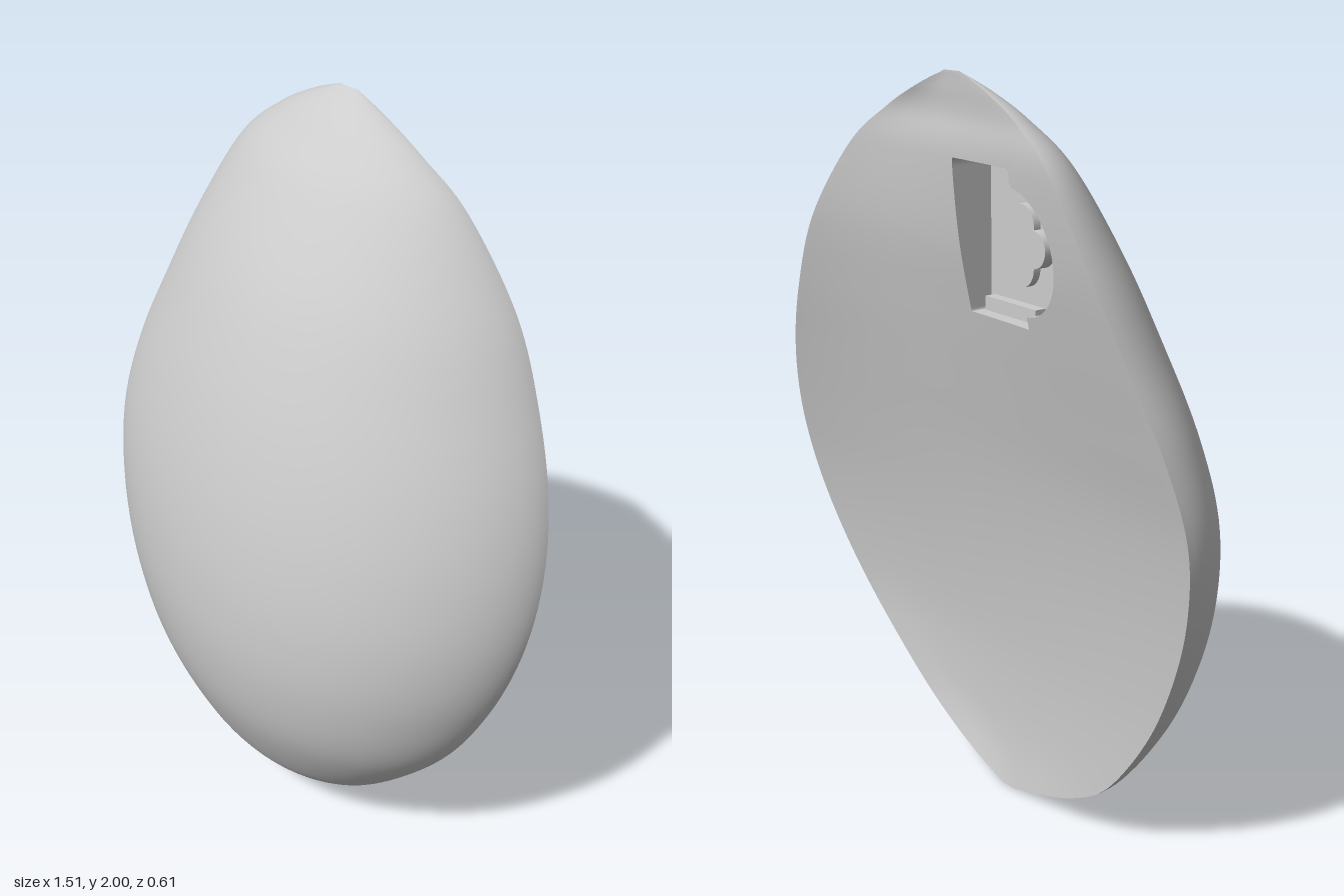
import * as THREE from 'three';

// Rows from bottom to top: y, left-hand x, right-hand x, front z, left-hand rim z, right-hand rim z
const ROWS = [
  [0, -0.03, 0.02, -0.045, -0.045, -0.048],
  [0.04, -0.15, 0.14, 0.022, -0.045, -0.05],
  [0.1, -0.295, 0.275, 0.093, -0.045, -0.053],
  [0.2, -0.435, 0.42, 0.172, -0.046, -0.064],
  [0.4, -0.58, 0.60, 0.26, -0.05, -0.10],
  [0.6, -0.675, 0.70, 0.30, -0.06, -0.147],
  [0.8, -0.735, 0.747, 0.303, -0.077, -0.195],
  [1.0, -0.755, 0.745, 0.28, -0.105, -0.24],
  [1.2, -0.718, 0.70, 0.235, -0.15, -0.275],
  [1.4, -0.642, 0.617, 0.17, -0.197, -0.298],
  [1.6, -0.56, 0.51, 0.083, -0.24, -0.305],
  [1.8, -0.45, 0.35, -0.04, -0.265, -0.28],
  [1.9, -0.32, 0.21, -0.127, -0.255, -0.255],
  [1.96, -0.20, 0.08, -0.188, -0.25, -0.25],
  [2.0, -0.09, -0.03, -0.24, -0.245, -0.245],
];
const curve = (f) => new THREE.CatmullRomCurve3(ROWS.map(f), false, 'catmullrom');
const leftRim = curve((r) => new THREE.Vector3(r[1], r[0], r[4]));
const rightRim = curve((r) => new THREE.Vector3(r[2], r[0], r[5]));
const crest = curve((r) => new THREE.Vector3(0, r[0], r[3]));

const ROLL = 0.04; // how far the skin rolls round past its widest point

// Point on the domed front: v runs upward, u runs from -x to +x; the +x side is a little leaner
function frontPoint(v, u) {
  const l = leftRim.getPoint(v), r = rightRim.getPoint(v), c = crest.getPoint(v);
  const t = -ROLL + u * (Math.PI + 2 * ROLL);
  const w = (1 - Math.cos(t)) / 2;
  const arch = Math.max(0, (Math.sin(t) + Math.sin(ROLL)) / (1 + Math.sin(ROLL)));
  const k = Math.pow(arch, 1 + 0.2 * w);
  const base = l.z + (r.z - l.z) * w;
  return new THREE.Vector3(l.x + (r.x - l.x) * w, l.y, base + (c.z - base) * k);
}

// Back surface, hollowed more deeply towards +x
function backZ(x, y) {
  let lo = 0, hi = 1;
  for (let i = 0; i < 22; i++) {
    const m = (lo + hi) / 2;
    if (leftRim.getPoint(m).y < y) lo = m; else hi = m;
  }
  const l = frontPoint(lo, 0), r = frontPoint(lo, 1);
  const u = THREE.MathUtils.clamp((x - l.x) / (r.x - l.x), 0, 1);
  const swell = Math.max(0, Math.sin((Math.PI * THREE.MathUtils.clamp(y, 0, 2)) / 2));
  const hollow = 0.07 * Math.pow(swell, 0.8) * 4 * u * (1 - u) * (0.4 + 1.2 * u);
  return l.z + (r.z - l.z) * u + hollow;
}

// Surface from rows of points
function gridGeometry(rows) {
  const n = rows[0].length, index = [];
  for (let i = 0; i < rows.length - 1; i++) {
    for (let j = 0; j < n - 1; j++) {
      const a = i * n + j, b = a + 1, c = a + n, d = c + 1;
      index.push(a, b, c, b, d, c);
    }
  }
  const g = new THREE.BufferGeometry().setFromPoints(rows.flat());
  g.setIndex(index);
  g.computeVertexNormals();
  return g;
}

// Recess outline: a rectangle joined with a circle, both around one centre
const CENTER = new THREE.Vector2(-0.2, 1.61);
const RECT = { x0: -0.29, x1: -0.055, y0: 1.42, y1: 1.8 };
const DISC = { x: -0.275, y: 1.605, r: 0.155 };
function recessPoint(p) {
  const d = new THREE.Vector2(p.x - CENTER.x, p.y - CENTER.y).normalize();
  const tx = d.x > 0 ? (RECT.x1 - CENTER.x) / d.x : (RECT.x0 - CENTER.x) / Math.min(d.x, -1e-6);
  const ty = d.y > 0 ? (RECT.y1 - CENTER.y) / d.y : (RECT.y0 - CENTER.y) / Math.min(d.y, -1e-6);
  const ox = CENTER.x - DISC.x, oy = CENTER.y - DISC.y;
  const b = ox * d.x + oy * d.y;
  const tc = -b + Math.sqrt(b * b - (ox * ox + oy * oy) + DISC.r * DISC.r);
  const t = Math.max(Math.min(tx, ty), tc);
  return new THREE.Vector2(CENTER.x + d.x * t, CENTER.y + d.y * t);
}

export function createModel() {
  const group = new THREE.Group();
  const shellGrey = new THREE.MeshStandardMaterial({ color: 0xcccccc });
  shellGrey.name = 'shellGrey';
  const add = (name, geometry) => {
    const m = new THREE.Mesh(geometry, shellGrey);
    m.name = name;
    group.add(m);
    return m;
  };

  // Domed front
  const NV = 112, NU = 64;
  const front = [];
  for (let i = 0; i <= NV; i++) {
    const row = [];
    for (let j = 0; j <= NU; j++) row.push(frontPoint(i / NV, j / NU));
    front.push(row);
  }
  add('frontShell', gridGeometry(front));

  // Back, stretched from the recess opening out to the rim
  const rim = [];
  for (let i = 0; i <= NV; i++) rim.push(front[i][NU]);
  for (let i = NV; i >= 0; i--) rim.push(front[i][0]);
  rim.push(rim[0]);
  const opening = rim.map(recessPoint);
  const RINGS = 24, back = [];
  for (let k = 0; k <= RINGS; k++) {
    const f = k / RINGS;
    back.push(rim.map((p, i) => {
      if (k === RINGS) return p.clone();
      const x = opening[i].x + (p.x - opening[i].x) * f;
      const y = opening[i].y + (p.y - opening[i].y) * f;
      return new THREE.Vector3(x, y, backZ(x, y));
    }));
  }
  add('backShell', gridGeometry(back));

  // Recess walls and floor
  const FLOOR = -0.13;
  const floorRing = opening.map((p) => new THREE.Vector3(p.x, p.y, FLOOR));
  add('recessWall', gridGeometry([floorRing, back[0]]));
  const middle = opening.map(() => new THREE.Vector3(CENTER.x, CENTER.y, FLOOR));
  add('recessFloor', gridGeometry([middle, floorRing]));

  // Round bosses on the recess floor
  for (const [x, y, r, h] of [[-0.26, 1.6, 0.045, 0.03], [-0.2, 1.65, 0.05, 0.02], [-0.2, 1.55, 0.05, 0.02]]) {
    const g = new THREE.CylinderGeometry(r, r, h, 32).rotateX(Math.PI / 2);
    add('recessBoss', g).position.set(x, y, FLOOR - h / 2);
  }

  // Ledge along the lower side of the recess
  add('recessLedge', new THREE.BoxGeometry(0.2, 0.035, 0.03)).position.set(-0.17, 1.44, FLOOR - 0.015);
  return group;
}
